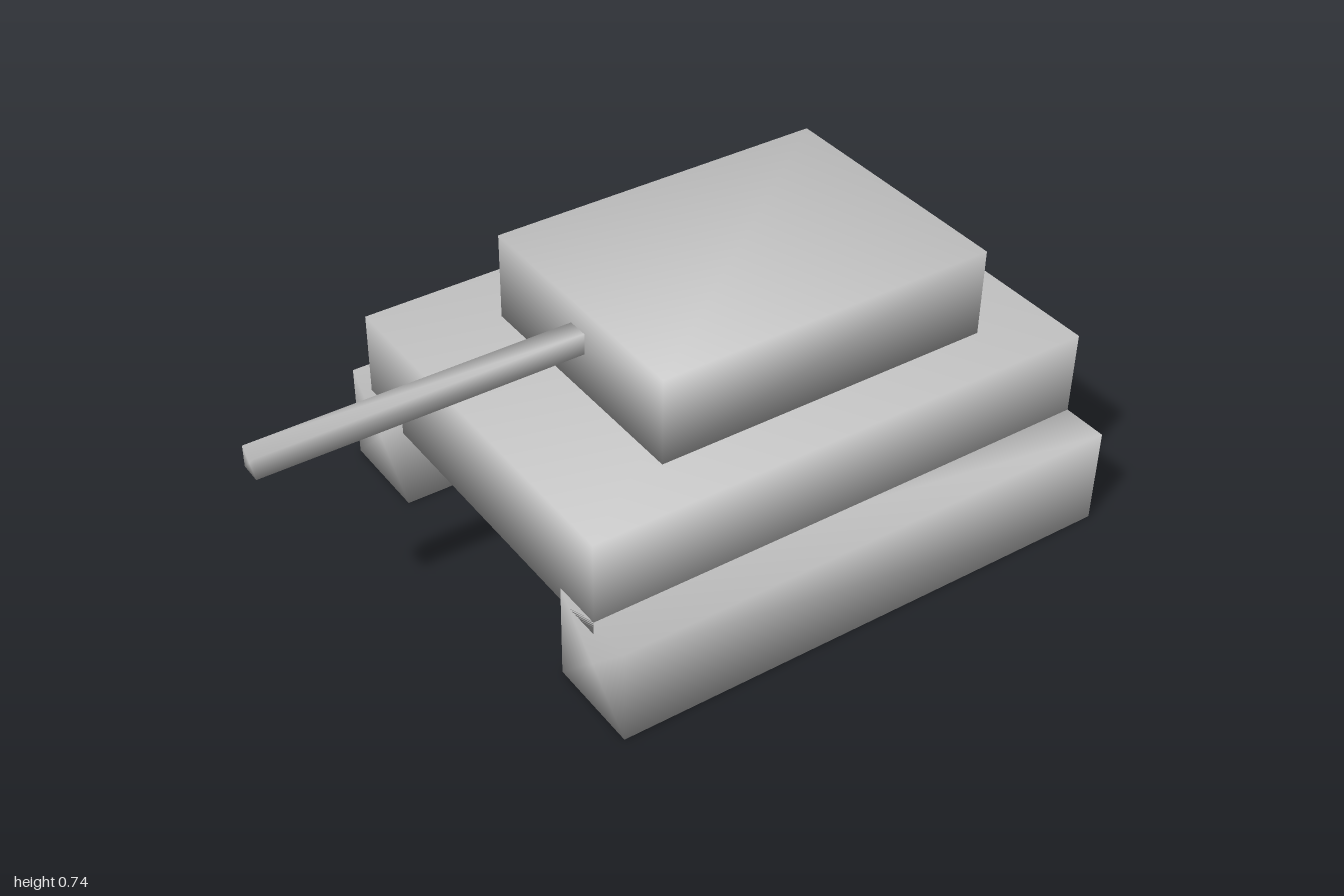
import * as THREE from 'three';
import { mergeVertices } from 'three/addons/utils/BufferGeometryUtils.js';

const material = new THREE.MeshStandardMaterial({ color: 0xcccccc });

// Weld the corners so shading runs smoothly over every edge
function smooth(geometry) {
  geometry.deleteAttribute('normal');
  geometry.deleteAttribute('uv');
  const welded = mergeVertices(geometry, 1e-4);
  welded.computeVertexNormals();
  return welded;
}

function addPart(group, name, geometry, x, y, z) {
  const mesh = new THREE.Mesh(smooth(geometry), material);
  mesh.name = name;
  mesh.position.set(x, y, z);
  group.add(mesh);
}

// Four-sided prism lying along x, with its sides level and upright
function squareBar(width, length) {
  return new THREE.CylinderGeometry(width / Math.SQRT2, width / Math.SQRT2, length, 4)
    .rotateY(Math.PI / 4)
    .rotateZ(Math.PI / 2);
}

export function createModel() {
  const group = new THREE.Group();
  group.name = 'tank';

  // Hull and turret slabs
  addPart(group, 'hull', new THREE.BoxGeometry(1.435, 0.265, 1.053), 0.2825, 0.3625, -0.011);
  addPart(group, 'turret', new THREE.BoxGeometry(0.947, 0.24, 0.716), 0.325, 0.615, 0.008);

  // Tracks on both sides
  for (const [name, side] of [['frontTrack', 1], ['backTrack', -1]]) {
    addPart(group, name, squareBar(0.266, 1.435), 0.2825, 0.133, side * 0.508);
  }

  // Gun barrel, reaching into the turret
  addPart(group, 'barrel', squareBar(0.058, 0.87), -0.565, 0.639, 0.01);
  return group;
}
